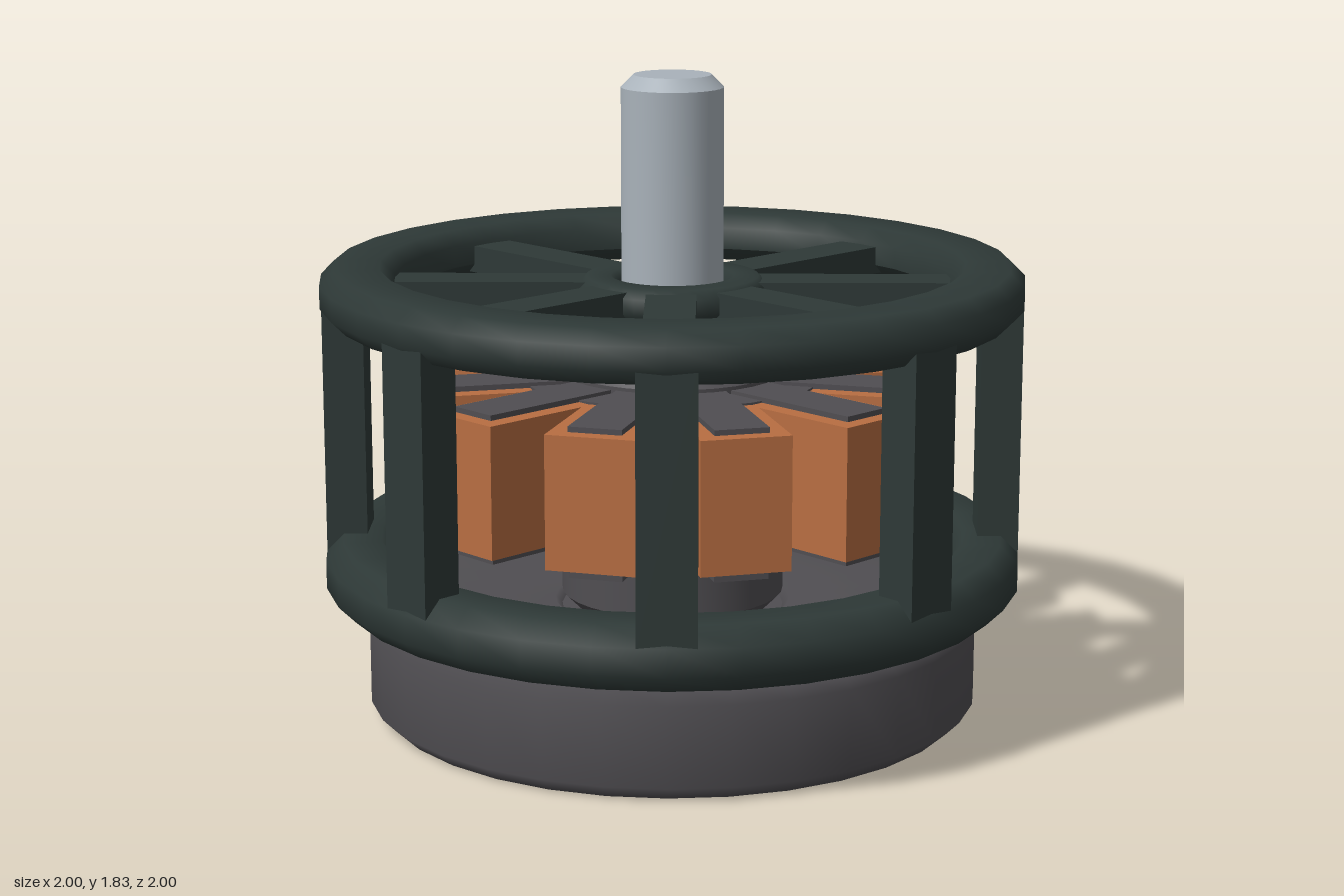
import * as THREE from 'three';
import { toCreasedNormals } from 'three/addons/utils/BufferGeometryUtils.js';

const material = (name, color) => {
  const m = new THREE.MeshStandardMaterial({ color });
  m.name = name;
  return m;
};

export function createModel() {
  const model = new THREE.Group();
  model.name = 'electricMotor';
  const cageGreen = material('dark green grey', 0x2e3937);
  const iron = material('iron grey', 0x504e52);
  const copper = material('copper', 0xb86e42);
  const steel = material('light steel', 0xa9b2ba);

  function add(name, geometry, mat, parent = model) {
    const mesh = new THREE.Mesh(geometry, mat);
    mesh.name = name;
    parent.add(mesh);
    return mesh;
  }

  // Chamfered ring with soft edges, turned around the y axis
  function ring(rIn, rOut, y0, y1, c) {
    const profile = [
      [rIn, y0 + c], [rIn + c, y0], [rOut - c, y0], [rOut, y0 + c],
      [rOut, y1 - c], [rOut - c, y1], [rIn + c, y1], [rIn, y1 - c], [rIn, y0 + c],
    ].map(([x, y]) => new THREE.Vector2(x, y));
    return new THREE.LatheGeometry(profile, 32);
  }

  // Chamfered solid cylinder with crisp edges
  function rod(r, y0, y1, c) {
    const profile = [
      [0, y0], [r - c, y0], [r, y0 + c], [r, y1 - c], [r - c, y1], [0, y1],
    ].map(([x, y]) => new THREE.Vector2(x, y));
    return toCreasedNormals(new THREE.LatheGeometry(profile, 32), 0.6);
  }

  // Box running outward from r0 to r1 along +x
  function radialBox(r0, r1, y0, y1, width) {
    return new THREE.BoxGeometry(r1 - r0, y1 - y0, width)
      .translate((r0 + r1) / 2, (y0 + y1) / 2, 0);
  }

  // Base, bearing and shaft
  add('base', ring(0.3, 0.88, 0, 0.31, 0.04), iron);
  add('basePlug', new THREE.CylinderGeometry(0.33, 0.33, 0.28, 32).translate(0, 0.15, 0), iron);
  add('bearingTube', rod(0.32, 0.3, 1.035, 0.04), iron);
  add('shaft', rod(0.145, 0.32, 1.83, 0.035), steel);

  // Stator: yoke with twelve teeth, each wound with a copper coil
  const stator = new THREE.Group();
  stator.name = 'stator';
  model.add(stator);
  add('yoke', new THREE.CylinderGeometry(0.44, 0.44, 0.4, 24).translate(0, 0.775, 0), iron, stator);
  const tooth = radialBox(0.25, 0.75, 0.57, 0.985, 0.15);
  const coil = radialBox(0.43, 0.795, 0.6, 0.97, 0.25);
  for (let i = 0; i < 12; i++) {
    const angle = (i * Math.PI) / 6;
    add('tooth', tooth, iron, stator).rotation.y = angle;
    add('coil', coil, copper, stator).rotation.y = angle;
  }

  // Rotor cage: two rings, hub, eight spokes and eight posts
  const cage = new THREE.Group();
  cage.name = 'cage';
  model.add(cage);
  add('topRing', ring(0.79, 1, 1.155, 1.3, 0.04), cageGreen, cage);
  add('bottomRing', ring(0.79, 1, 0.335, 0.515, 0.05), cageGreen, cage);
  add('hub', ring(0.15, 0.27, 1.165, 1.26, 0.025), cageGreen, cage);
  const spoke = radialBox(0.2, 0.88, 1.17, 1.25, 0.14);
  const post = radialBox(0.875, 0.992, 0.45, 1.21, 0.16);
  for (let i = 0; i < 8; i++) {
    const angle = (i * Math.PI) / 4;
    add('spoke', spoke, cageGreen, cage).rotation.y = angle;
    add('post', post, cageGreen, cage).rotation.y = angle;
  }
  return model;
}
